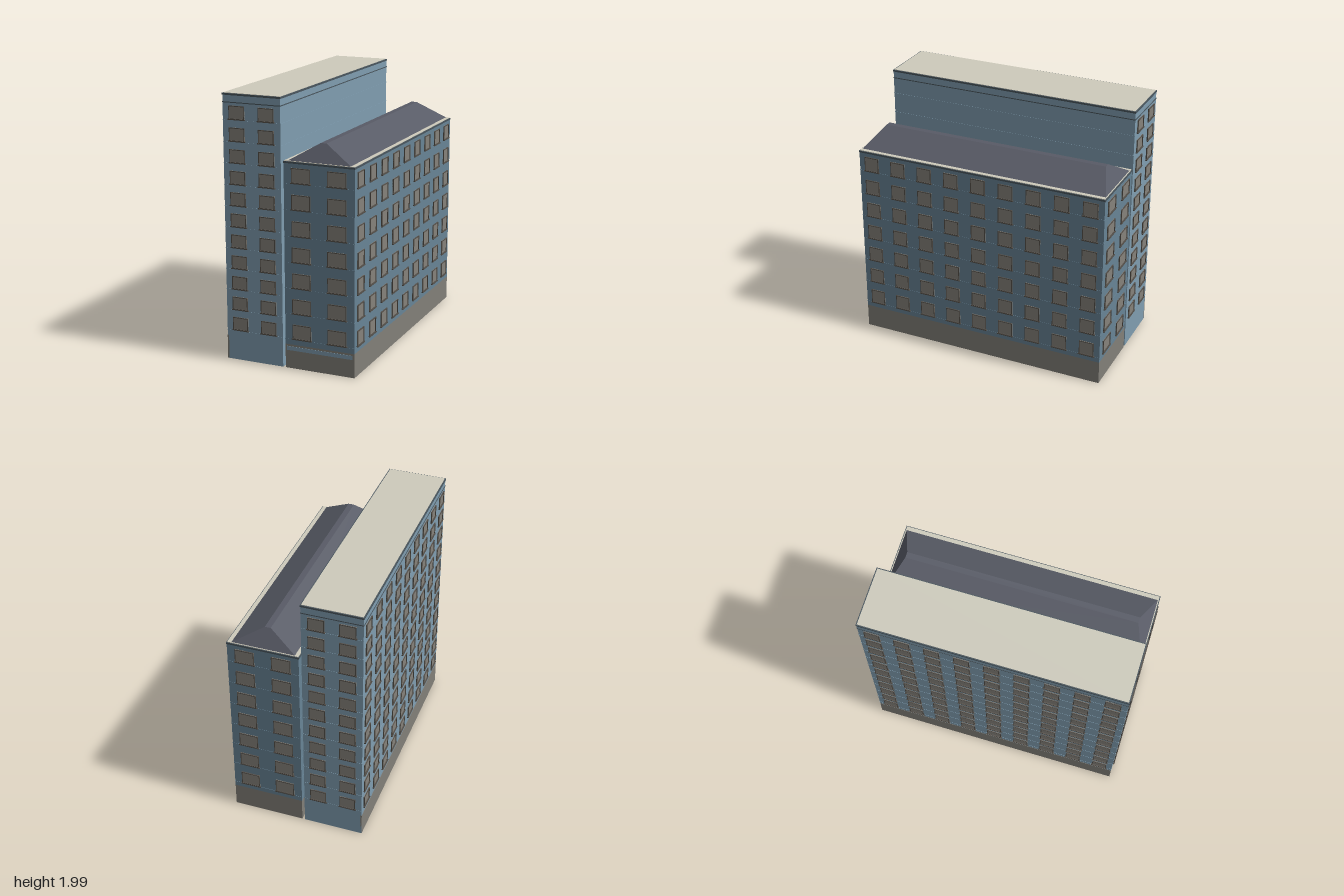
import * as THREE from 'three';
import { mergeGeometries } from 'three/addons/utils/BufferGeometryUtils.js';

const mat = (color) => new THREE.MeshStandardMaterial({ color });
const M = {
  tall: mat(0x7f9db0), low: mat(0x688496), dark: mat(0x4a565e), stone: mat(0x827f78),
  glass: mat(0x85827b), frame: mat(0x55504a), cream: mat(0xcecbbc), slate: mat(0x585b66),
};
M.slate.flatShading = true;
const DEPTH = 0.988; // half length of both blocks

// Box given by its minimum and maximum corners
function block(parent, name, material, [x0, y0, z0], [x1, y1, z1]) {
  const mesh = new THREE.Mesh(new THREE.BoxGeometry(x1 - x0, y1 - y0, z1 - z0), material);
  mesh.position.set((x0 + x1) / 2, (y0 + y1) / 2, (z0 + z1) / 2);
  mesh.name = name;
  parent.add(mesh);
}

// Rectangular window surround with an opening
function surround(w, h, t, depth) {
  const rect = (target, a, b) => target.moveTo(-a, -b).lineTo(a, -b).lineTo(a, b).lineTo(-a, b).closePath();
  const shape = rect(new THREE.Shape(), w / 2, h / 2);
  shape.holes.push(rect(new THREE.Path(), w / 2 - t, h / 2 - t));
  return new THREE.ExtrudeGeometry(shape, { depth, bevelEnabled: false });
}

// Grid of windows on a wall facing +z, merged into one mesh per part
function windowGrid(name, columns, rows, w, h) {
  const group = new THREE.Group();
  group.name = name;
  const parts = [
    ['windowPanes', M.glass, new THREE.BoxGeometry(w, h, 0.006)],
    ['windowFrames', M.frame, surround(w, h, 0.006, 0.009)],
    ['windowSills', M.frame, new THREE.BoxGeometry(w + 0.012, 0.008, 0.024).translate(0, -h / 2, 0)],
  ];
  for (const [part, material, geometry] of parts) {
    const copies = [];
    for (const x of columns) for (const y of rows) copies.push(geometry.clone().translate(x, y, 0));
    const mesh = new THREE.Mesh(mergeGeometries(copies), material);
    mesh.name = part;
    group.add(mesh);
  }
  return group;
}

function place(parent, grid, x, z, angle) {
  grid.position.set(x, 0, z);
  grid.rotation.y = angle;
  parent.add(grid);
}

// Thin edging that runs round a block
function band(parent, name, material, x0, x1, y0, y1, out) {
  block(parent, name, material, [x0 - out, y0, -DEPTH - out], [x1 + out, y1, DEPTH + out]);
}

// Hipped roof with a narrow flat ridge
function hippedRoof() {
  const ring = (x0, x1, y, z) => [[x0, y, z], [x1, y, z], [x1, y, -z], [x0, y, -z]];
  const base = ring(-0.015, 0.48, 1.535, 0.982), ridge = ring(0.205, 0.25, 1.665, 0.89);
  const pos = [];
  const quad = (a, b, c, d) => pos.push(...a, ...b, ...c, ...a, ...c, ...d);
  for (let i = 0; i < 4; i++) {
    const j = (i + 1) % 4;
    quad(base[i], base[j], ridge[j], ridge[i]);
  }
  quad(...ridge);
  const g = new THREE.BufferGeometry();
  g.setAttribute('position', new THREE.Float32BufferAttribute(pos, 3));
  g.computeVertexNormals();
  const mesh = new THREE.Mesh(g, M.slate);
  mesh.name = 'hippedRoof';
  return mesh;
}

const series = (n, start, step) => Array.from({ length: n }, (_, i) => start + i * step);

export function createModel() {
  const model = new THREE.Group();
  model.name = 'apartmentBuilding';
  const sideColumns = series(9, -0.884, 0.221);

  // Tall slab
  const tall = new THREE.Group();
  tall.name = 'tallBlock';
  const [tx0, tx1] = [-0.51, -0.058];
  const tallRows = series(11, 0.28, 0.157);
  block(tall, 'tallWalls', M.tall, [tx0, 0, -DEPTH], [tx1, 1.975, DEPTH]);
  block(tall, 'tallPlinth', M.stone, [tx0 - 0.002, 0, -DEPTH], [tx0 + 0.01, 0.18, DEPTH]);
  band(tall, 'corniceLine', M.dark, tx0, tx1, 1.918, 1.925, 0.003);
  band(tall, 'corniceCap', M.dark, tx0, tx1, 1.972, 1.985, 0.004);
  band(tall, 'flatRoof', M.cream, tx0, tx1, 1.98, 1.988, -0.004);
  for (const y of tallRows) band(tall, 'floorCourse', M.tall, tx0, tx1, y - 0.058, y - 0.054, 0.002);
  const tallCols = [-0.115, 0.115], tc = (tx0 + tx1) / 2;
  place(tall, windowGrid('tallFrontWindows', tallCols, tallRows, 0.122, 0.098), tc, DEPTH, 0);
  place(tall, windowGrid('tallBackWindows', tallCols, tallRows, 0.122, 0.098), tc, -DEPTH, Math.PI);
  place(tall, windowGrid('tallSideWindows', sideColumns, tallRows, 0.116, 0.098), tx0, 0, -Math.PI / 2);
  model.add(tall);

  // Lower block with plinth, eaves and hipped roof
  const low = new THREE.Group();
  low.name = 'lowBlock';
  const [lx0, lx1] = [-0.037, 0.505];
  const lowRows = series(7, 0.283, 0.1925);
  block(low, 'lowPlinth', M.stone, [lx0, 0, -DEPTH], [lx1, 0.182, DEPTH]);
  block(low, 'lowWalls', M.low, [lx0, 0.182, -DEPTH], [lx1, 1.53, DEPTH]);
  block(low, 'entranceStrip', M.tall, [-0.025, 0.137, DEPTH - 0.01], [0.49, 0.167, DEPTH + 0.003]);
  band(low, 'eavesLine', M.dark, lx0, lx1, 1.523, 1.536, 0.003);
  band(low, 'eavesLedge', M.cream, lx0, lx1, 1.53, 1.54, -0.003);
  for (const y of lowRows) band(low, 'floorCourse', M.low, lx0, lx1, y - 0.064, y - 0.06, 0.002);
  low.add(hippedRoof());
  const lowCols = [-0.138, 0.138], lc = (lx0 + lx1) / 2;
  place(low, windowGrid('lowFrontWindows', lowCols, lowRows, 0.145, 0.11), lc, DEPTH, 0);
  place(low, windowGrid('lowBackWindows', lowCols, lowRows, 0.145, 0.11), lc, -DEPTH, Math.PI);
  place(low, windowGrid('lowSideWindows', sideColumns, lowRows, 0.116, 0.115), lx1, 0, Math.PI / 2);
  model.add(low);

  return model;
}
